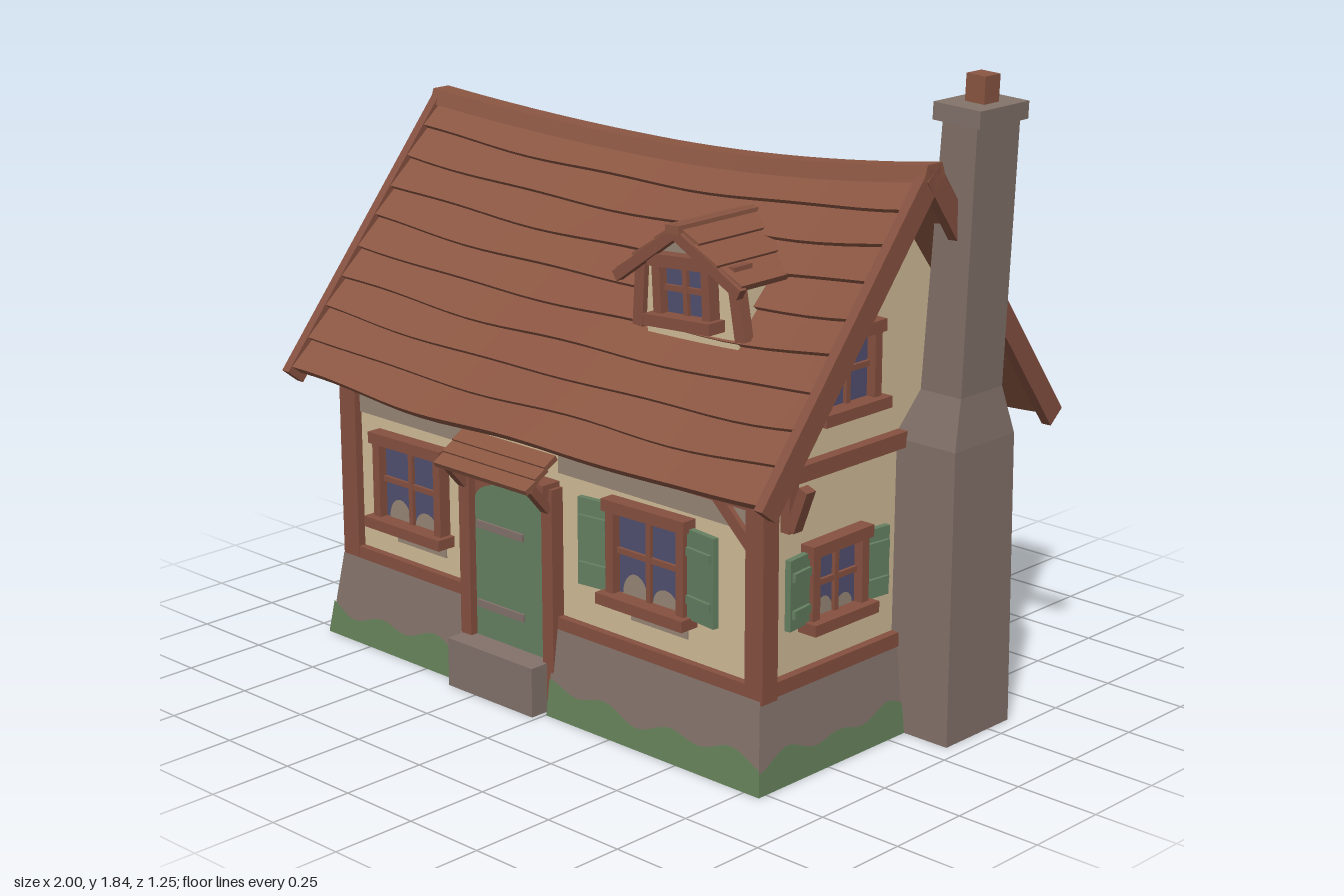
import * as THREE from 'three';

const mat = (name, color, side = THREE.FrontSide) => {
  const m = new THREE.MeshStandardMaterial({ color, side });
  m.name = name;
  return m;
};
const M = {
  roof: mat('roof boards', 0x8b5642),
  wood: mat('timber', 0x865140),
  plaster: mat('plaster', 0xd2bd98, THREE.DoubleSide),
  weathered: mat('weathered plaster', 0x988676),
  stone: mat('stone', 0x83726a, THREE.DoubleSide),
  moss: mat('moss', 0x648059),
  green: mat('painted wood', 0x658061),
  glass: mat('glass', 0x525070),
};

function add(parent, name, geo, material) {
  const m = new THREE.Mesh(geo, material);
  m.name = name;
  parent.add(m);
  return m;
}
// box given by its minimum and maximum on each axis
function block(parent, name, x0, x1, y0, y1, z0, z1, material = M.wood) {
  const m = add(parent, name, new THREE.BoxGeometry(x1 - x0, y1 - y0, z1 - z0), material);
  m.position.set((x0 + x1) / 2, (y0 + y1) / 2, (z0 + z1) / 2);
  return m;
}
// straight timber between two points, turned before it joins its parent
function beam(parent, name, a, b, w, d, material = M.wood) {
  const A = new THREE.Vector3(...a), B = new THREE.Vector3(...b);
  const m = new THREE.Mesh(new THREE.BoxGeometry(w, d, A.distanceTo(B)), material);
  m.name = name;
  m.position.copy(A).add(B).multiplyScalar(0.5);
  m.lookAt(B);
  parent.add(m);
}
// move every vertex by a rule, then rebuild the normals
function warp(geo, rule, facet = false) {
  const p = geo.attributes.position;
  for (let i = 0; i < p.count; i++) p.setXYZ(i, ...rule(p.getX(i), p.getY(i), p.getZ(i)));
  const g = facet ? geo.toNonIndexed() : geo;
  g.computeVertexNormals();
  return g;
}
const polygon = (pts) => new THREE.Shape(pts.map((p) => new THREE.Vector2(...p)));
const lerp = THREE.MathUtils.lerp;

// sagging roof: t = 0 at the ridge, 1 at the eave
const sag = (x) => (x < -0.1 ? 0.035 : 0.068) * ((x + 0.1) / 0.95) ** 2;
const roofY = (x, t) => 1.525 - 0.715 * t + sag(x) * (1 - 0.6 * t) + 0.006 * Math.sin(x * 6 + 1) * t;
const SPAN = 0.58;
const leftEnd = (t) => lerp(-0.955, -0.975, t);
const rightEnd = (t) => lerp(0.9, 0.875, t);

function roofRow(i, rows, side) {
  return warp(new THREE.BoxGeometry(1, 1, 1, 24, 1, 1), (u, w, v) => {
    let t = (i + v + 0.5) / rows + (v > 0 ? 0.012 : 0);
    const x = lerp(leftEnd(t), rightEnd(t), side * u + 0.5);
    if (v > 0) t += 0.004 * Math.sin(x * 9 + i * 2.3);
    const h = w > 0 ? (v > 0 ? 0.03 : 0.01) : -0.008;
    return [x, roofY(x, t) + h * 0.62, side * (SPAN * t + h * 0.785)];
  });
}

// window facing +z, centred on its panes
function makeWindow(w, h, shutters, curtain, name) {
  const g = new THREE.Group();
  g.name = name;
  const x = w / 2, y = h / 2, f = 0.028;
  block(g, 'glass', -x, x, -y, y, 0.003, 0.01, M.glass);
  block(g, 'mullion', -0.008, 0.008, -y, y, 0.002, 0.022);
  block(g, 'crossbar', -x, x, -0.004, 0.012, 0.002, 0.02);
  for (const s of [-1, 1]) {
    block(g, 'jamb', s * (x + f / 2) - f / 2, s * (x + f / 2) + f / 2, -y, y + 0.005, -0.01, 0.038);
    if (curtain) {
      const c = add(g, 'curtain', new THREE.CircleGeometry(1, 12, 0, Math.PI), M.weathered);
      c.scale.set(w * 0.2, h * (s < 0 ? 0.27 : 0.2), 1);
      c.position.set(s * w * 0.24, -y, 0.012);
    }
    if (!shutters) continue;
    const leaf = new THREE.Group();
    leaf.name = 'shutter';
    const sw = shutters / 2;
    block(leaf, 'shutterBoard', -sw, sw, -y - 0.005, y + 0.012, 0, 0.018, M.green);
    for (const b of [-0.55, 0.6]) block(leaf, 'batten', -sw + 0.008, sw - 0.008, b * y - 0.012, b * y + 0.012, 0.015, 0.028, M.green);
    leaf.position.set(s * (x + f + sw), 0, 0.012);
    leaf.rotation.y = s * -0.12;
    g.add(leaf);
  }
  const top = block(g, 'lintel', -x - 0.037, x + 0.037, y, y + 0.034, -0.01, 0.046);
  top.rotation.z = 0.015;
  block(g, 'windowSill', -x - 0.045, x + 0.045, -y - 0.032, -y, -0.01, 0.062);
  return g;
}

function buildBase(root) {
  // flared open footing, with a wavy moss strip on each side and a gap at the door
  const half = (y, long) => (long ? lerp(0.867, 0.837, y / 0.25) : lerp(0.525, 0.49, y / 0.25));
  for (const [k, from, to] of [[0, -0.5, -0.18], [0, 0.04, 0.5], [1, -0.5, 0.5], [2, -0.5, 0.5], [3, -0.5, 0.5]]) {
    const long = k % 2 === 0;
    const panel = (top, off) => warp(new THREE.PlaneGeometry(1, 1, 40, 1), (s, v) => {
      const u = lerp(from, to, s + 0.5), y = v > 0 ? top(u) : 0;
      return [u * 2 * (half(y, long) + off), y, half(y, !long) + off];
    });
    const wave = (u) => 0.085 + 0.015 * Math.sin(u * (long ? 46 : 30) + k) + 0.01 * Math.sin(u * 19 + 2 * k);
    for (const [name, geo, m] of [['footing', panel(() => 0.25, 0), M.stone], ['mossStrip', panel(wave, 0.004), M.moss]]) {
      const p = add(root, name, geo, m);
      p.rotation.y = (k * Math.PI) / 2;
      p.position.x = -0.067;
    }
  }
}

function buildWalls(root) {
  // plaster shell, open underneath
  for (const s of [-1, 1]) {
    const wall = add(root, 'longWall', new THREE.PlaneGeometry(1.62, 0.71), M.plaster);
    wall.position.set(-0.065, 0.595, s * 0.465);
    if (s < 0) wall.rotation.y = Math.PI;
    const gable = polygon([[-0.465, 0.24], [0.465, 0.24], [0.465, 0.955], [0, 1.545], [-0.465, 0.955]]);
    const end = add(root, 'gableWall', new THREE.ShapeGeometry(gable), M.plaster);
    end.position.x = s > 0 ? 0.75 : -0.875;
    end.rotation.y = (s * Math.PI) / 2;
    beam(root, 'weatheredVerge', [-0.876, 0.93, s * 0.44], [-0.876, 1.48, 0], 0.006, 0.05, M.weathered);
  }
  // weathered bands below the eaves
  for (const [x0, x1, y, z] of [[-0.84, -0.36, 0.7, 0.463], [0, 0.72, 0.7, 0.463], [-0.84, 0.72, 0.72, -0.47]]) {
    block(root, 'weatheredBand', x0, x1, y, 0.77, z, z + 0.007, M.weathered);
  }
  // timber frame
  for (const s of [-1, 1]) {
    const z0 = s > 0 ? 0.43 : -0.49, z1 = z0 + 0.06;
    block(root, 'cornerPost', -0.902, -0.835, 0.24, 0.91, z0, z1);
    block(root, 'cornerPost', 0.715, 0.778, 0.24, 0.91, z0, z1);
    block(root, 'wallPlate', -0.9, 0.775, 0.765, 0.83, z0 + 0.002, z1 - 0.002);
    const x0 = s > 0 ? 0.735 : -0.9, x1 = x0 + 0.045;
    block(root, 'gableSill', x0, x1 - 0.005, 0.247, 0.288, -0.48, 0.48);
    block(root, 'gableTie', x0 - 0.003, x1 + 0.003, 0.82, 0.865, -0.48, 0.48);
    for (const z of [-0.385, 0.375]) {
      const xo = s > 0 ? x1 : x0;
      block(root, 'bracketPost', x0, x1, 0.69, 0.82, z - 0.018, z + 0.018);
      beam(root, 'bracket', [xo, 0.7, z], [xo + s * 0.045, 0.82, z], 0.035, 0.03);
    }
  }
  block(root, 'backSill', -0.9, 0.775, 0.247, 0.285, -0.488, -0.45);
  block(root, 'frontSillLeft', 0, 0.775, 0.247, 0.285, 0.45, 0.488);
  block(root, 'frontSillRight', -0.9, -0.36, 0.247, 0.285, 0.45, 0.488);
  block(root, 'backPost', -0.182, -0.128, 0.25, 0.78, -0.486, -0.45);
  beam(root, 'frontBrace', [0.59, 0.79, 0.47], [0.73, 0.66, 0.47], 0.03, 0.035);
  beam(root, 'gableBrace', [-0.88, 0.83, -0.06], [-0.88, 0.28, 0.38], 0.03, 0.04);
  block(root, 'kingPost', -0.9, -0.865, 1.2, 1.48, 0.015, 0.055);

  // windows: width, height, shutter width, position, turn, curtain
  const H = Math.PI / 2;
  for (const [w, h, sh, x, y, z, turn, curtain] of [
    [0.235, 0.225, 0, -0.6, 0.52, 0.465, 0, true],
    [0.235, 0.235, 0.11, 0.36, 0.535, 0.465, 0, true],
    [0.17, 0.18, 0.09, 0.75, 0.515, 0.19, H, true],
    [0.175, 0.175, 0, 0.75, 1.08, 0.155, H, false],
    [0.17, 0.17, 0.095, -0.48, 0.5, -0.465, 2 * H, false],
    [0.17, 0.17, 0.095, 0.36, 0.5, -0.465, 2 * H, false],
    [0.16, 0.17, 0.09, -0.875, 0.51, -0.22, -H, false],
    [0.16, 0.18, 0.1, -0.875, 1.07, 0.04, -H, false],
  ]) {
    const win = makeWindow(w, h, sh, curtain, 'window');
    // weathered plaster under the sill
    if (x < 0.7) block(win, 'weatheredPatch', -w * 0.35, w * 0.55, -h / 2 - 0.075, -h / 2 - 0.02, -0.002, 0.004, M.weathered);
    win.position.set(x, y, z);
    win.rotation.y = turn;
    root.add(win);
  }
}

function buildDoor(root) {
  const g = new THREE.Group();
  g.name = 'doorway';
  root.add(g);
  const s = new THREE.Shape();
  s.moveTo(-0.325, 0.13).lineTo(-0.03, 0.13).lineTo(-0.03, 0.56);
  s.quadraticCurveTo(-0.05, 0.615, -0.178, 0.615).quadraticCurveTo(-0.305, 0.615, -0.325, 0.56);
  const door = add(g, 'door', new THREE.ExtrudeGeometry(s, { depth: 0.02, bevelEnabled: false }), M.green);
  door.position.z = 0.465;
  block(g, 'doorBacking', -0.35, -0.01, 0.01, 0.64, 0.44, 0.462, M.stone);
  block(g, 'doorHeader', -0.33, -0.02, 0.55, 0.66, 0.45, 0.482);
  for (const y of [0.233, 0.472]) block(g, 'hinge', -0.315, -0.125, y, y + 0.022, 0.484, 0.492, M.stone);
  for (const x of [-0.368, -0.03]) {
    block(g, 'doorPost', x, x + 0.042, 0.03, 0.66, 0.45, 0.508);
    beam(g, 'hoodBracket', [x + 0.02, 0.6, 0.505], [x + 0.02, 0.675, 0.57], 0.03, 0.025);
  }
  block(g, 'doorLintel', -0.36, 0, 0.635, 0.675, 0.46, 0.53);
  for (let i = 0; i < 3; i++) {
    const y = 0.735 - i * 0.026, z = 0.48 + i * 0.036;
    beam(g, 'hoodBoard', [-0.182, y + 0.012, z], [-0.182, y - 0.012, z + 0.044], 0.375, 0.016, M.roof);
  }
  block(g, 'doorStep', -0.36, -0.015, 0, 0.145, 0.45, 0.567, M.stone);
}

function buildRoof(root) {
  const rows = 9;
  for (const side of [1, -1]) {
    for (let i = 0; i < rows; i++) add(root, 'roofRow', roofRow(i, rows, side), M.roof);
    // barge boards along both gables
    for (const end of [leftEnd, rightEnd]) {
      const out = end === leftEnd ? -0.008 : 0.004;
      const pt = (t) => [end(t) + out, roofY(end(t), t) - 0.002, side * SPAN * t];
      beam(root, 'bargeBoard', pt(-0.01), pt(1.03), 0.03, 0.066);
    }
  }
  // ridge cap follows the sag
  add(root, 'ridgeCap', warp(new THREE.BoxGeometry(1, 1, 1, 24, 1, 1), (u, v, w) => {
    const x = lerp(-0.975, 0.918, u + 0.5);
    return [x, roofY(x, 0) + (v > 0 ? 0.028 : -0.015), w * (v > 0 ? 0.06 : 0.09)];
  }), M.roof);
}

function buildDormer(root) {
  const g = new THREE.Group();
  g.name = 'dormer';
  g.position.set(0.385, 1.28, 0);
  g.rotation.z = 0.06;
  root.add(g);
  const s = polygon([[-0.165, -0.16], [0.165, -0.16], [0.165, 0.045], [0, 0.145], [-0.165, 0.045]]);
  const body = add(g, 'dormerWall', new THREE.ExtrudeGeometry(s, { depth: 0.25, bevelEnabled: false }), M.plaster);
  body.position.z = 0.1;
  const peak = add(g, 'weatheredPeak', new THREE.ShapeGeometry(polygon([[-0.16, 0.05], [0.16, 0.05], [0, 0.14]])), M.weathered);
  peak.position.z = 0.354;
  const win = makeWindow(0.15, 0.13, 0, false, 'dormerWindow');
  win.position.set(0, -0.015, 0.35);
  g.add(win);
  block(g, 'dormerTie', -0.18, 0.18, 0.046, 0.07, 0.3, 0.37);
  for (const d of [-1, 1]) {
    beam(g, 'dormerPost', [d * 0.187, -0.13, 0.35], [d * 0.165, 0.05, 0.35], 0.034, 0.036);
    for (let i = 0; i < 3; i++) {
      // overlapping boards, stepping down from the dormer ridge
      const b = block(g, 'dormerRoofBoard', -0.048, 0.048, -0.009, 0.009, 0.08, 0.395 + (i % 2) * 0.012, M.roof);
      b.position.x = d * (0.036 + i * 0.073);
      b.position.y = 0.142 - i * 0.048;
      b.rotation.z = d * -0.5;
    }
    beam(g, 'dormerBarge', [0, 0.147, 0.395], [d * 0.225, 0.008, 0.395], 0.025, 0.03);
  }
  block(g, 'dormerRidge', -0.025, 0.025, 0.145, 0.17, 0.1, 0.41, M.roof);
}

function buildChimney(root) {
  // each level: y, x range, z range
  const L = [[0, 0.72, 0.953, -0.34, -0.068], [0.84, 0.74, 0.95, -0.33, -0.075], [0.98, 0.8, 0.937, -0.287, -0.11], [1.73, 0.86, 0.974, -0.28, -0.1]];
  add(root, 'chimneyStack', warp(new THREE.BoxGeometry(1, 1, 1, 1, 3, 1), (x, y, z) => {
    const l = L[Math.round((y + 0.5) * 3)];
    return [x > 0 ? l[2] : l[1], l[0], z > 0 ? l[4] : l[3]];
  }, true), M.stone);
  block(root, 'chimneyCap', 0.84, 0.995, 1.72, 1.768, -0.287, -0.083, M.stone).rotation.z = -0.04;
  block(root, 'chimneyPot', 0.89, 0.953, 1.75, 1.842, -0.215, -0.153, M.roof).rotation.z = -0.04;
}

export function createModel() {
  const root = new THREE.Group();
  root.name = 'cottage';
  for (const build of [buildBase, buildWalls, buildDoor, buildRoof, buildDormer, buildChimney]) build(root);
  return root;
}
